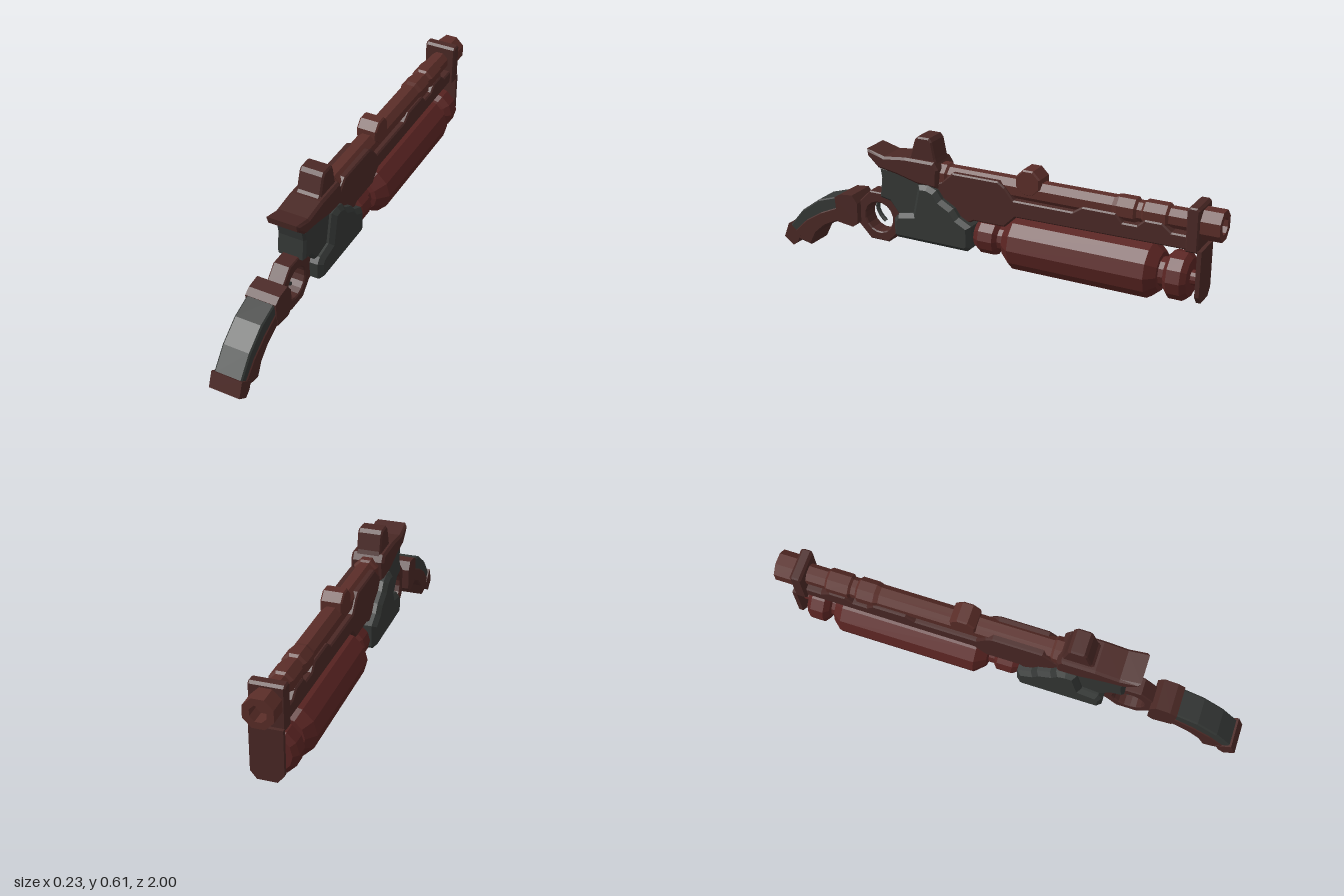
import * as THREE from 'three';

const paint = (color) => new THREE.MeshStandardMaterial({ color, flatShading: true });

export function createModel() {
  const group = new THREE.Group();
  const brown = paint(0x4a2825), red = paint(0x5a2422), rust = paint(0x5a2d28), grey = paint(0x343735);

  const add = (name, geometry, material) => {
    const mesh = new THREE.Mesh(geometry, material);
    mesh.name = name;
    group.add(mesh);
    return mesh;
  };

  // Side outline in [z, y], extruded evenly across x with chamfered edges
  const slab = (name, points, half, bevel, material, hole) => {
    const shape = new THREE.Shape(points.map(([z, y]) => new THREE.Vector2(z, y)));
    if (hole) shape.holes.push(new THREE.Path(hole.map(([z, y]) => new THREE.Vector2(z, y))));
    const depth = 2 * (half - bevel);
    const geometry = new THREE.ExtrudeGeometry(shape, {
      depth, steps: 1, bevelEnabled: bevel > 0, bevelThickness: bevel,
      bevelSize: bevel, bevelOffset: -bevel, bevelSegments: 1,
    });
    geometry.translate(0, 0, -depth / 2).rotateY(-Math.PI / 2);
    return add(name, geometry, material);
  };

  // Faceted turned part along z, profile in [radius, z] from muzzle end to rear
  const turned = (name, points, y, sides, material, start = 0) => {
    const profile = points.map(([r, z]) => new THREE.Vector2(r, z));
    const geometry = new THREE.LatheGeometry(profile, sides, start);
    geometry.rotateX(Math.PI / 2).translate(0, y, 0);
    return add(name, geometry, material);
  };

  const ring = (r, n, z, y) => Array.from({ length: n }, (_, i) => {
    const a = ((i + 0.5) / n) * Math.PI * 2;
    return [z + r * Math.cos(a), y + r * Math.sin(a)];
  });

  // Grip: lower frame, front collar, butt cap and inlaid panel
  slab('gripFrame', [
    [0.96, 0.03], [0.94, 0.075], [0.88, 0.135], [0.8, 0.185], [0.71, 0.225], [0.64, 0.23],
    [0.63, 0.155], [0.71, 0.16], [0.78, 0.125], [0.83, 0.08], [0.86, 0.02], [0.93, 0.035],
  ], 0.064, 0.006, brown);
  slab('gripPanel', [
    [0.97, 0.09], [0.9, 0.175], [0.81, 0.24], [0.69, 0.278], [0.69, 0.185],
    [0.78, 0.155], [0.86, 0.105], [0.92, 0.05],
  ], 0.06, 0.006, grey);
  slab('gripCollar', [
    [0.72, 0.27], [0.69, 0.288], [0.63, 0.294], [0.605, 0.26], [0.605, 0.17], [0.63, 0.15], [0.71, 0.16],
  ], 0.066, 0, brown);
  slab('buttCap', [[1, 0.035], [0.975, 0.1], [0.915, 0.055], [0.93, 0.02], [0.955, 0]], 0.066, 0, brown);

  // Trigger guard with linking tabs
  slab('triggerGuard', ring(0.118, 8, 0.512, 0.21), 0.037, 0.005, brown, ring(0.067, 16, 0.512, 0.206));
  slab('guardLink', [[0.43, 0.27], [0.39, 0.26], [0.39, 0.16], [0.43, 0.15]], 0.035, 0, brown);
  const triggerCurve = new THREE.CatmullRomCurve3([
    new THREE.Vector3(0, 0.285, 0.525), new THREE.Vector3(0, 0.24, 0.54),
    new THREE.Vector3(0, 0.205, 0.525), new THREE.Vector3(0, 0.18, 0.5),
  ]);
  add('trigger', new THREE.TubeGeometry(triggerCurve, 8, 0.009, 6), grey);

  // Grey action housing
  slab('rearHousing', [
    [0.49, 0.45], [0.48, 0.4], [0.49, 0.31], [0.44, 0.3], [0.4, 0.25], [0.25, 0.25], [0.25, 0.43],
  ], 0.062, 0.01, grey);
  slab('actionHousing', [
    [0.29, 0.405], [0.317, 0.275], [0.39, 0.26], [0.41, 0.235], [0.41, 0.165], [0.395, 0.153],
    [0.06, 0.153], [0.042, 0.17], [0.042, 0.265], [0.1, 0.295], [0.125, 0.33], [0.18, 0.36],
    [0.205, 0.395], [0.245, 0.41],
  ], 0.09, 0.018, grey);

  // Rear sight
  slab('rearCover', [
    [0.545, 0.52], [0.54, 0.49], [0.49, 0.445], [0.4, 0.43], [0.3, 0.405], [0.205, 0.4],
    [0.2, 0.48], [0.22, 0.51], [0.36, 0.51], [0.46, 0.498],
  ], 0.072, 0.01, brown);
  slab('rearSight', [
    [0.37, 0.49], [0.34, 0.52], [0.318, 0.59], [0.305, 0.605], [0.25, 0.605],
    [0.237, 0.59], [0.222, 0.52], [0.21, 0.49],
  ], 0.053, 0.007, brown);

  // Receiver plate running into the fore-end
  slab('receiver', [
    [0.25, 0.4], [0.19, 0.43], [0.14, 0.475], [-0.07, 0.475], [-0.1, 0.455], [-0.14, 0.407],
    [-0.4, 0.407], [-0.44, 0.435], [-0.58, 0.435], [-0.61, 0.402], [-0.67, 0.402], [-0.7, 0.43],
    [-0.77, 0.43], [-0.81, 0.4], [-0.9, 0.4], [-0.9, 0.342], [-0.15, 0.335],
    [-0.1, 0.285], [0.04, 0.285], [0.1, 0.25], [0.25, 0.25],
  ], 0.055, 0.006, brown);

  // Barrel with collars and hollow muzzle
  turned('barrel', [
    [0, -0.94], [0.035, -0.94], [0.035, -1], [0.064, -1], [0.064, -0.915], [0.043, -0.915],
    [0.043, -0.79], [0.052, -0.78], [0.052, -0.69], [0.043, -0.68], [0.043, -0.66],
    [0.053, -0.65], [0.053, -0.58], [0.047, -0.56], [0.047, 0.17], [0.055, 0.18], [0.055, 0.23], [0, 0.23],
  ], 0.444, 8, rust, Math.PI / 8);
  slab('frontSight', ring(0.058, 8, -0.198, 0.486), 0.045, 0.006, rust);

  // Muzzle bracket and its hanging end plate
  slab('muzzleBracket', [
    [-0.872, 0.34], [-0.872, 0.51], [-0.882, 0.52], [-0.912, 0.52], [-0.922, 0.51], [-0.922, 0.34],
  ], 0.07, 0.006, brown);
  const plate = new THREE.Shape([
    [-0.066, 0.35], [-0.066, 0.16], [-0.04, 0.128], [0.04, 0.128], [0.066, 0.16], [0.066, 0.35],
  ].map(([x, y]) => new THREE.Vector2(x, y)));
  add('endPlate', new THREE.ExtrudeGeometry(plate, { depth: 0.018, bevelEnabled: false })
    .translate(0, 0, -0.937), brown);

  // Canister with caps at both ends
  turned('canister', [
    [0, -0.925], [0.03, -0.925], [0.03, -0.885], [0.078, -0.885], [0.098, -0.865], [0.098, -0.81],
    [0.075, -0.79], [0.06, -0.785], [0.06, -0.765], [0.08, -0.765], [0.115, -0.725], [0.115, -0.14],
    [0.075, -0.095], [0.055, -0.09], [0.055, -0.065], [0.075, -0.05], [0.075, 0.015],
    [0.055, 0.045], [0, 0.045],
  ], 0.212, 12, red);

  return group;
}
